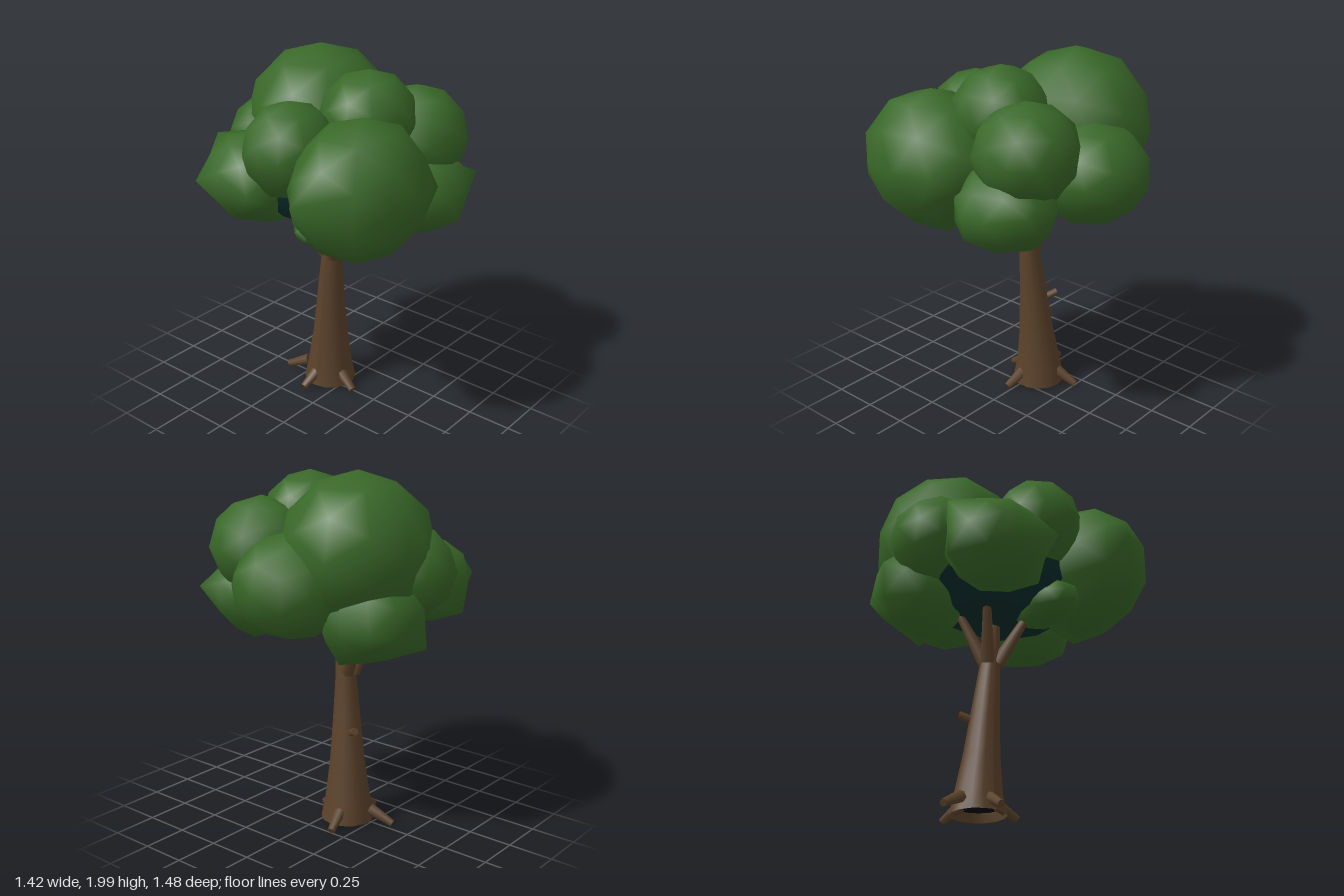
import * as THREE from 'three';
import { mergeVertices } from 'three/addons/utils/BufferGeometryUtils.js';

const material = (name, color, side = THREE.FrontSide) => {
  const m = new THREE.MeshStandardMaterial({ color, side });
  m.name = name;
  return m;
};

// Low-poly ball with smooth normals; each tip pulls the nearest corner out to a point
function clump(name, at, radii, turn, mat, tips = [], flat = 1) {
  const g = new THREE.IcosahedronGeometry(1, 1);
  g.deleteAttribute('normal');
  g.deleteAttribute('uv');
  const ball = mergeVertices(g, 1e-3);
  ball.rotateY(turn);
  const p = ball.attributes.position;
  const trim = v => THREE.MathUtils.clamp(v, -flat, flat) / flat;
  const v = new THREE.Vector3();
  for (let i = 0; i < p.count; i++) {
    v.fromBufferAttribute(p, i);
    p.setXYZ(i, at[0] + trim(v.x) * radii[0], at[1] + trim(v.y) * radii[1], at[2] + trim(v.z) * radii[2]);
  }
  for (const tip of tips) {
    const t = new THREE.Vector3(...tip);
    let best = 0, bestDistance = Infinity;
    for (let i = 0; i < p.count; i++) {
      const d = v.fromBufferAttribute(p, i).distanceTo(t);
      if (d < bestDistance) { best = i; bestDistance = d; }
    }
    p.setXYZ(best, ...tip);
  }
  ball.computeVertexNormals();
  const mesh = new THREE.Mesh(ball, mat);
  mesh.name = name;
  return mesh;
}

// Tapered limb between two points
function limb(name, from, to, r0, r1, mat) {
  const a = new THREE.Vector3(...from), b = new THREE.Vector3(...to);
  const dir = b.clone().sub(a);
  const mesh = new THREE.Mesh(new THREE.CylinderGeometry(r1, r0, dir.length(), 7), mat);
  mesh.name = name;
  mesh.position.copy(a).add(b).multiplyScalar(0.5);
  mesh.quaternion.setFromUnitVectors(new THREE.Vector3(0, 1, 0), dir.normalize());
  return mesh;
}

// Leaning trunk: each ring is [y, x, z, radius]
function trunkGeometry(rings, sides = 14) {
  const g = new THREE.CylinderGeometry(1, 1, 1, sides, rings.length - 1, true);
  const p = g.attributes.position;
  for (let i = 0; i < p.count; i++) {
    const [y, x, z, r] = rings[Math.floor(i / (sides + 1))];
    p.setXYZ(i, x + p.getX(i) * r, y, z + p.getZ(i) * r);
  }
  g.computeVertexNormals();
  return g;
}

export function createModel() {
  const tree = new THREE.Group();
  tree.name = 'tree';
  const bark = material('bark', 0x5b422a);
  const barkOpen = material('trunk bark', 0x5b422a, THREE.DoubleSide);
  const leaf = material('leaf green', 0x396828);
  const shade = material('inner foliage', 0x0a2c2c);
  const hollow = material('hollow', 0x080706);

  // Trunk, from top to flared foot
  const trunk = new THREE.Mesh(trunkGeometry([
    [1.09, -0.045, -0.005, 0.046],
    [0.85, -0.063, 0, 0.057],
    [0.6, -0.08, -0.012, 0.077],
    [0.35, -0.095, -0.025, 0.098],
    [0.13, -0.107, -0.035, 0.128],
    [0.02, -0.107, -0.035, 0.15],
  ]), barkOpen);
  trunk.name = 'trunk';
  tree.add(trunk);

  // Dark hollows at the top and foot of the trunk
  [[-0.045, 1.088, -0.005, 0.045, -1], [-0.107, 0.07, -0.035, 0.136, 1]].forEach(([x, y, z, r, way]) => {
    const disc = new THREE.Mesh(new THREE.CircleGeometry(r, 14), hollow);
    disc.name = 'trunkHollow';
    disc.rotation.x = way * Math.PI / 2;
    disc.position.set(x, y, z);
    tree.add(disc);
  });

  // Roots
  [
    [-0.375, 0.025, 0.03], [0.108, 0.025, 0.02],
    [-0.13, 0.03, 0.18], [-0.17, 0.025, -0.26],
  ].forEach(tip => tree.add(limb('root',
    [-0.11 + (tip[0] + 0.11) * 0.5, 0.09, -0.035 + (tip[2] + 0.035) * 0.5], tip, 0.034, 0.021, bark)));

  // Broken twig on the trunk
  tree.add(limb('twig', [-0.11, 0.52, -0.03], [-0.2, 0.565, -0.09], 0.024, 0.021, bark));

  // Branches forking into the crown
  [
    [[-0.095, 0.86, 0.02], [-0.18, 1.17, 0.12]],
    [[-0.035, 0.86, 0.025], [0.09, 1.15, 0.14]],
    [[-0.085, 0.87, -0.015], [-0.21, 1.14, -0.08]],
  ].forEach(([a, b]) => tree.add(limb('branch', a, b, 0.042, 0.022, bark)));

  // Dark heart of the crown, glimpsed through the gaps
  tree.add(clump('innerFoliage', [-0.02, 1.42, 0.02], [0.48, 0.3, 0.43], 0, shade, [], 0.88));

  // Leaf clumps: name, centre, radii, turn, tips
  [
    ['topClump', [-0.26, 1.59, -0.15], [0.4, 0.41, 0.43], 0.3],
    ['backRightClump', [0.29, 1.57, -0.28], [0.29, 0.27, 0.28], 0.9],
    ['upperRightClump', [0.18, 1.7, -0.01], [0.26, 0.26, 0.27], 0.2],
    ['backClump', [-0.05, 1.42, -0.43], [0.31, 0.28, 0.31], 0],
    ['frontRightClump', [0.375, 1.45, 0.3], [0.34, 0.37, 0.4], 0.1,
      [[0.3, 1.47, 0.74], [0.42, 1.07, 0.16], [0.05, 1.26, 0.36], [0.58, 1.4, -0.08]]],
    ['frontClump', [-0.03, 1.58, 0.36], [0.25, 0.26, 0.26], 0.5, [[0, 1.55, 0.63]]],
    ['frontLeftClump', [-0.3, 1.37, 0.34], [0.28, 0.25, 0.27], 0.4,
      [[-0.6, 1.54, 0.32], [-0.6, 1.22, 0.33], [-0.36, 1.12, 0.42], [-0.47, 1.38, 0.62],
        [-0.1, 1.38, 0.62], [-0.05, 1.2, 0.4]]],
    ['leftClump', [-0.44, 1.48, 0.02], [0.27, 0.25, 0.27], 0],
    ['lowLeftClump', [-0.38, 1.28, -0.2], [0.28, 0.25, 0.27], 0.6,
      [[-0.38, 1.02, -0.2], [-0.68, 1.13, -0.12], [-0.57, 1.25, -0.45], [-0.3, 1.03, -0.35], [-0.68, 1.35, -0.15]]],
    ['lowRightClump', [0.37, 1.3, -0.21], [0.27, 0.24, 0.28], 0.3,
      [[0.54, 1.35, -0.51], [0.65, 1.19, -0.18], [0.33, 1.06, -0.15], [0.3, 1.07, -0.34]]],
    ['lowFrontClump', [0.13, 1.19, 0.25], [0.15, 0.12, 0.23], 0.7],
  ].forEach(([name, at, radii, turn, tips]) => tree.add(clump(name, at, radii, turn, leaf, tips)));

  return tree;
}
